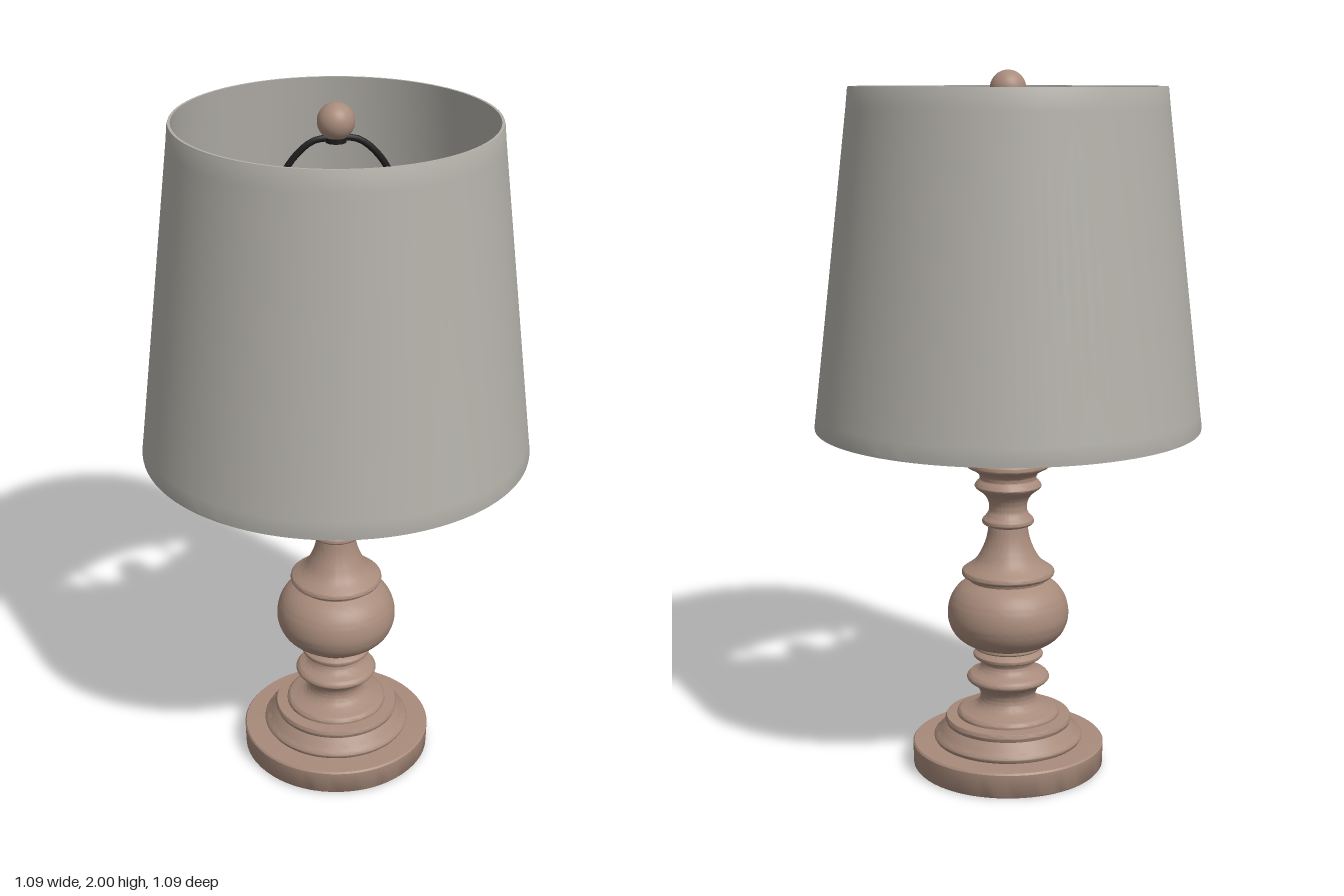
import * as THREE from 'three';
import { toCreasedNormals } from 'three/addons/utils/BufferGeometryUtils.js';

const mat = (name, color) => Object.assign(new THREE.MeshStandardMaterial({ color }), { name });
const V2 = (p) => new THREE.Vector2(p[0], p[1]);
const V3 = (x, y, z) => new THREE.Vector3(x, y, z);

// Turned part: each section is a smooth curve, with sharp edges where sections meet
function turned(sections, segments = 64) {
  const pts = [];
  for (const s of sections) {
    const p = s.map(V2);
    const curve = p.length > 2 ? new THREE.SplineCurve(p).getPoints((p.length - 1) * 4) : p;
    for (const q of curve) {
      q.x = Math.max(q.x, 0);
      if (!pts.length || pts[pts.length - 1].distanceTo(q) > 1e-4) pts.push(q);
    }
  }
  return toCreasedNormals(new THREE.LatheGeometry(pts, segments), 0.7);
}

export function createModel() {
  const wood = mat('wood', 0xa88b7b);
  const fabric = mat('fabric', 0xb3b0a9);
  const metal = mat('blackMetal', 0x1c1c1c);
  const lamp = new THREE.Group();
  lamp.name = 'tableLamp';
  const add = (name, geo, material) => {
    const m = new THREE.Mesh(geo, material);
    m.name = name;
    lamp.add(m);
    return m;
  };
  const rod = (name, a, b, r) =>
    add(name, new THREE.TubeGeometry(new THREE.LineCurve3(a, b), 1, r, 10), metal);

  // Stepped foot
  add('base', turned([
    [[0, 0], [0.272, 0]],
    [[0.272, 0], [0.277, 0.006]],
    [[0.277, 0.006], [0.279, 0.07]],
    [[0.279, 0.07], [0.275, 0.075]],
    [[0.275, 0.075], [0.212, 0.078]],
    [[0.212, 0.078], [0.217, 0.088], [0.212, 0.098]],
    [[0.212, 0.098], [0.2, 0.102]],
    [[0.2, 0.102], [0.193, 0.112], [0.18, 0.128]],
    [[0.18, 0.128], [0.184, 0.14], [0.18, 0.15]],
    [[0.18, 0.15], [0.148, 0.153]],
    [[0.148, 0.153], [0.147, 0.163], [0.138, 0.17]],
    [[0.138, 0.17], [0, 0.17]],
  ]), wood);

  // Turned column
  add('column', turned([
    [[0.125, 0.168], [0.095, 0.182], [0.081, 0.202], [0.083, 0.225], [0.098, 0.247]],
    [[0.098, 0.247], [0.115, 0.257], [0.12, 0.267], [0.112, 0.278]],
    [[0.112, 0.278], [0.088, 0.29], [0.076, 0.308], [0.08, 0.32]],
    [[0.08, 0.32], [0.098, 0.328], [0.101, 0.338], [0.09, 0.346]],
    [[0.09, 0.346], [0.082, 0.35]],
    [[0.082, 0.35], [0.098, 0.356], [0.098, 0.365]],
    [[0.098, 0.365], [0.13, 0.379], [0.158, 0.405], [0.173, 0.44], [0.174, 0.475],
      [0.164, 0.51], [0.142, 0.54], [0.112, 0.56]],
    [[0.112, 0.56], [0.114, 0.567]],
    [[0.114, 0.567], [0.131, 0.575], [0.133, 0.587], [0.122, 0.596]],
    [[0.122, 0.596], [0.095, 0.617], [0.075, 0.65], [0.062, 0.685], [0.056, 0.72]],
    [[0.056, 0.72], [0.072, 0.727], [0.074, 0.738], [0.066, 0.747]],
    [[0.066, 0.747], [0.055, 0.765], [0.056, 0.79], [0.068, 0.812], [0.089, 0.829]],
    [[0.089, 0.829], [0.096, 0.838], [0.09, 0.849]],
    [[0.09, 0.849], [0.081, 0.86], [0.087, 0.876], [0.108, 0.89]],
    [[0.108, 0.89], [0.119, 0.896], [0.12, 0.908], [0.114, 0.915]],
    [[0.114, 0.915], [0.046, 0.918]],
    [[0.046, 0.918], [0.046, 0.932]],
    [[0.046, 0.932], [0.041, 0.936]],
    [[0.041, 0.936], [0.041, 1.17]],
    [[0.041, 1.17], [0, 1.17]],
  ]), wood);

  // Tapered drum shade with slim hems at both rims
  add('shade', turned([
    [[0.534, 1.012], [0.545, 1.012]],
    [[0.545, 1.012], [0.546, 1.02]],
    [[0.546, 1.02], [0.541, 1.06]],
    [[0.541, 1.06], [0.443, 1.9]],
    [[0.443, 1.9], [0.438, 1.95]],
    [[0.438, 1.95], [0.436, 1.956]],
    [[0.436, 1.956], [0.429, 1.956]],
    [[0.429, 1.956], [0.534, 1.012]],
  ], 96), fabric);

  // Shade ring with three spokes to a hub
  const ringY = 1.085;
  const ring = add('shadeRing', new THREE.TorusGeometry(0.522, 0.01, 10, 72), metal);
  ring.rotation.x = Math.PI / 2;
  ring.position.y = ringY;
  for (let i = 0; i < 3; i++) {
    const a = (i * Math.PI * 2) / 3, s = Math.sin(a), c = Math.cos(a);
    rod('shadeSpoke', V3(0.035 * s, ringY, 0.035 * c), V3(0.522 * s, ringY, 0.522 * c), 0.01);
  }
  const hub = add('spokeHub', new THREE.CylinderGeometry(0.047, 0.047, 0.02, 32), metal);
  hub.position.y = ringY;

  // Socket and bulb
  const socket = add('socket', new THREE.CylinderGeometry(0.054, 0.054, 0.2, 32), metal);
  socket.position.y = 1.25;
  add('bulb', turned([
    [[0.04, 1.34], [0.052, 1.39], [0.057, 1.45], [0.05, 1.51], [0.03, 1.54], [0, 1.548]],
  ], 32), fabric);

  // Wire harp arching from the socket to the finial
  const half = [[0.07, 1.16], [0.075, 1.24], [0.12, 1.33], [0.175, 1.45], [0.192, 1.58],
    [0.175, 1.72], [0.125, 1.84], [0.06, 1.9]];
  const path = [
    ...half.map(([x, y]) => V3(-x, y, 0)),
    V3(0, 1.905, 0),
    ...half.slice().reverse().map(([x, y]) => V3(x, y, 0)),
  ];
  const tilt = 0.03;
  add('harp', new THREE.TubeGeometry(new THREE.CatmullRomCurve3(path), 90, 0.009, 8), metal).rotation.y = tilt;
  for (const s of [-1, 1]) {
    const sleeve = add('harpSleeve', new THREE.CylinderGeometry(0.014, 0.014, 0.08, 12), metal);
    sleeve.position.set(s * 0.07 * Math.cos(tilt), 1.19, -s * 0.07 * Math.sin(tilt));
  }
  const saddle = add('harpSaddle', new THREE.BoxGeometry(0.14, 0.014, 0.022), metal);
  saddle.position.y = 1.165;
  saddle.rotation.y = tilt;
  const cap = add('harpCap', new THREE.CylinderGeometry(0.028, 0.028, 0.02, 24), metal);
  cap.position.y = 1.905;

  // Ball finial
  const ball = add('finial', new THREE.SphereGeometry(0.05, 32, 20), wood);
  ball.position.y = 1.95;

  return lamp;
}
